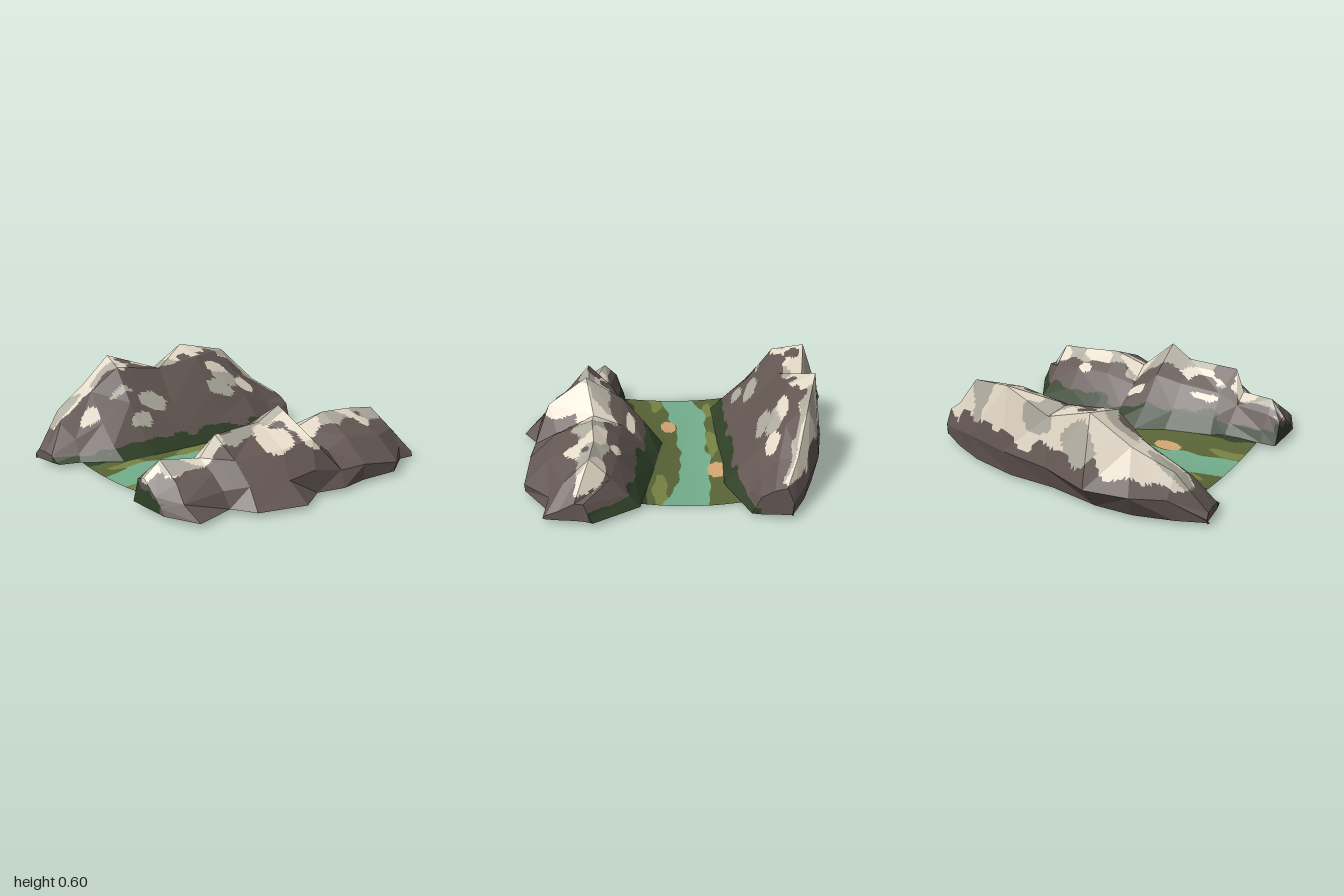
import * as THREE from 'three';

const flat = (name, color) => {
  const m = new THREE.MeshStandardMaterial({ color, side: THREE.DoubleSide, flatShading: true });
  m.name = name;
  return m;
};
const MATERIALS = {
  Rock: flat('rock', 0x645854),
  Cream: flat('cream stone', 0xe4dac8),
  Grey: flat('grey stone', 0xb0ac9f),
  Forest: flat('dark forest green', 0x304128),
  Grass: flat('grass', 0x596436),
  Olive: flat('olive grass', 0x798343),
  Water: flat('water', 0x73ae8c),
  Sand: flat('sand', 0xd3a573),
};
const BASE = 0.025;

// repeatable pseudo-random value in -1..1, and a smooth wobble for paint edges
const hash = (a, b) => {
  const s = Math.sin(a * 127.1 + b * 311.7) * 43758.5453;
  return (s - Math.floor(s)) * 2 - 1;
};
const wobble = (a, b) =>
  (Math.sin(a * 5.1 + b * 17) + Math.sin(b * 31 - a * 3.3) + Math.sin(a * 9 + b * 9.7 + 2)) / 3;
const inside = (a, b, [ca, cb, ra, rb]) => ((a - ca) / ra) ** 2 + ((b - cb) / rb) ** 2 < 1;

// splits triangles into small facets, sorts them by painted colour, makes one mesh per colour
function paintedGroup(name, triangles, steps, paint) {
  const buckets = {};
  for (const tri of triangles) {
    const at = (i, j) => tri[0].map((v, k) =>
      v + (tri[1][k] - v) * i / steps + (tri[2][k] - v) * j / steps);
    const add = (a, b, c) => {
      const mid = a.map((v, k) => (v + b[k] + c[k]) / 3);
      const list = (buckets[paint(mid)] ??= []);
      for (const p of [a, b, c]) list.push(p[0], p[1], p[2]);
    };
    for (let i = 0; i < steps; i++) {
      for (let j = 0; j < steps - i; j++) {
        add(at(i, j), at(i + 1, j), at(i, j + 1));
        if (i + j < steps - 1) add(at(i + 1, j), at(i + 1, j + 1), at(i, j + 1));
      }
    }
  }
  const group = new THREE.Group();
  group.name = name;
  for (const [key, list] of Object.entries(buckets)) {
    const g = new THREE.BufferGeometry();
    g.setAttribute('position', new THREE.Float32BufferAttribute(list, 3));
    g.computeVertexNormals();
    const mesh = new THREE.Mesh(g, MATERIALS[key]);
    mesh.name = name + key;
    group.add(mesh);
  }
  return group;
}

// ridge section: z, outer foot x, four [x, y] points over the crest, inner foot x
const WEST = [
  [-0.93, -0.60, [-0.61, 0.10], [-0.57, 0.19], [-0.50, 0.17], [-0.43, 0.13], -0.38],
  [-0.76, -0.70, [-0.72, 0.15], [-0.65, 0.30], [-0.55, 0.27], [-0.45, 0.17], -0.33],
  [-0.55, -0.78, [-0.81, 0.20], [-0.74, 0.54], [-0.61, 0.40], [-0.45, 0.24], -0.26],
  [-0.25, -0.83, [-0.88, 0.20], [-0.83, 0.60], [-0.66, 0.53], [-0.49, 0.31], -0.28],
  [0.05, -0.82, [-0.87, 0.17], [-0.80, 0.46], [-0.66, 0.49], [-0.47, 0.27], -0.27],
  [0.37, -0.86, [-1.00, 0.19], [-0.86, 0.585], [-0.66, 0.54], [-0.50, 0.33], -0.27],
  [0.60, -0.84, [-0.93, 0.18], [-0.81, 0.42], [-0.68, 0.40], [-0.50, 0.23], -0.27],
  [0.82, -0.77, [-0.81, 0.16], [-0.74, 0.30], [-0.62, 0.24], [-0.52, 0.15], -0.43],
  [0.97, -0.69, [-0.71, 0.05], [-0.68, 0.08], [-0.61, 0.08], [-0.54, 0.07], -0.47],
];
const EAST = [
  [-0.95, 0.78, [0.76, 0.05], [0.69, 0.08], [0.60, 0.13], [0.55, 0.13], 0.50],
  [-0.81, 0.77, [0.75, 0.10], [0.66, 0.20], [0.52, 0.32], [0.40, 0.20], 0.24],
  [-0.59, 0.91, [0.91, 0.08], [0.77, 0.22], [0.50, 0.34], [0.37, 0.24], 0.20],
  [-0.33, 0.90, [0.90, 0.12], [0.75, 0.26], [0.52, 0.36], [0.36, 0.25], 0.15],
  [-0.14, 0.93, [0.89, 0.12], [0.75, 0.20], [0.52, 0.30], [0.34, 0.22], 0.12],
  [0.04, 0.89, [0.88, 0.16], [0.81, 0.32], [0.57, 0.48], [0.34, 0.33], 0.09],
  [0.22, 1.00, [0.88, 0.14], [0.76, 0.28], [0.56, 0.40], [0.38, 0.29], 0.19],
  [0.51, 0.92, [0.82, 0.14], [0.70, 0.26], [0.58, 0.39], [0.43, 0.26], 0.28],
  [0.59, 0.78, [0.74, 0.12], [0.66, 0.20], [0.54, 0.26], [0.44, 0.20], 0.33],
  [0.84, 0.85, [0.73, 0.10], [0.63, 0.18], [0.48, 0.28], [0.41, 0.20], 0.34],
  [0.93, 0.65, [0.62, 0.06], [0.56, 0.11], [0.46, 0.19], [0.40, 0.17], 0.35],
];

// low-poly shell, open underneath; the 4th value of a point is its place across the ridge (0..6).
// backSkew and frontSkew turn the end sections: z shift of the outer foot, opposite at the inner
function ridge(name, sections, { mirrored, backSkew, frontSkew, paint }) {
  const last = sections.length - 1;
  const rows = sections.map(([z, foot, ...rest], i) => {
    const inner = rest.pop();
    const [x4, y4] = rest[3];
    const hem = [x4 * 0.42 + inner * 0.58, y4 * 0.47];
    const skew = i === 0 ? backSkew : i === last ? frontSkew : 0;
    return [[foot, BASE], ...rest, hem, [inner, BASE]].map(([x, y], j) => {
      const shift = i % last === 0 || j % 6 === 0 ? 0 : hash(i, j + 3) * 0.03;
      return [x, y, z + skew * (1 - j / 3) + shift, j];
    });
  });
  // drop both ends to the ground
  const grounded = row => row.map(([x, , z, u]) => [x, BASE, z, u]);
  rows.unshift(grounded(rows[0]));
  rows.push(grounded(rows[rows.length - 1]));
  const triangles = [];
  const add = (a, b, c) => triangles.push(mirrored ? [a, c, b] : [a, b, c]);
  for (let i = 0; i < rows.length - 1; i++) {
    for (let j = 0; j < 6; j++) {
      const a = rows[i][j], b = rows[i + 1][j], c = rows[i + 1][j + 1], d = rows[i][j + 1];
      if (hash(i + 5, j) > 0) { add(a, b, c); add(a, c, d); }
      else { add(a, b, d); add(b, c, d); }
    }
  }
  return paintedGroup(name, triangles, 12, paint);
}

// pale patches on the slopes: place across, z, and their radii
const WEST_CREAM = [[3.5, -0.6, 0.25, 0.07], [3.65, 0.67, 0.22, 0.07], [3.15, -0.4, 0.2, 0.09]];
const WEST_GREY = [[3.4, -0.43, 0.25, 0.1], [3.85, -0.36, 0.25, 0.1], [3.9, 0.22, 0.28, 0.1],
  [4.55, 0.36, 0.22, 0.08], [3.6, 0.42, 0.14, 0.08]];
const EAST_CREAM = [[4.0, -0.53, 0.22, 0.05], [4.4, -0.06, 0.25, 0.06], [4.3, 0.4, 0.2, 0.09],
  [2.35, 0.2, 0.5, 0.1], [2.4, -0.01, 0.75, 0.08]];

function paintWest([, y, z, u]) {
  const n = wobble(u, z);
  const onPatch = p => inside(u + n * 0.12, z, p);
  if (u > 5.25 + n * 0.25 || (y < 0.06 && u > 4)) return 'Forest';
  if (WEST_CREAM.some(onPatch)) return 'Cream';
  if (WEST_GREY.some(onPatch)) return 'Grey';
  if (y > 0.2 && u > 1.32 + n * 0.2 && u < (z < -0.3 ? 2.4 : 2.85) + n * 0.3
    && !inside(u, z, [2.4, 0.27, 0.25, 0.06])) {
    return wobble(u * 0.5 + 4, z * 0.5) > 0.2 ? 'Grey' : 'Cream';
  }
  return 'Rock';
}
function paintEast([, y, z, u]) {
  const n = wobble(u + 2, z);
  if (u > 4.95 + n * 0.3) return 'Forest';
  if (z > 0.9 && u > 1.2 && y < 0.05 + u * 0.025 + n * 0.02) return 'Forest';
  if (EAST_CREAM.some(p => inside(u + n * 0.15, z, p))) return 'Cream';
  if (y > 0.16 && u > 2.55 + n * 0.3 && u < 3.6 + n * 0.35
    && !inside(u, z, [3.2, 0.47, 0.3, 0.08])) {
    return wobble(u * 0.5, z * 0.55 + 1) > 0 ? 'Grey' : 'Cream';
  }
  return 'Rock';
}

// river valley floor, a shallow trough between the ridge feet
function paintFloor([x, , z]) {
  const n = wobble(x * 4, z) * 0.02;
  if (inside(x, z, [-0.235, -0.34, 0.058, 0.1]) || inside(x, z, [0.04, 0.33, 0.05, 0.095])) return 'Sand';
  const left = -0.2 + (z < 0 ? 0.075 * z * z : -0.03 * z) + (z > 0.6 ? (z - 0.6) * 0.4 : 0);
  const right = -0.02 + (z < -0.1 ? 0.3 * (z + 0.1) ** 2 : 0.16 * Math.max(0, z) ** 2);
  if (x > left + n && x < right + n) return 'Water';
  if (x < -0.34 + n || x > 0.2 + n + 0.13 * Math.max(0, z)) return 'Forest';
  if ([[0.12, -0.6, 0.05, 0.2], [-0.23, 0.03, 0.04, 0.2], [0.12, 0.72, 0.045, 0.14], [-0.25, 0.6, 0.04, 0.13]]
    .some(p => inside(x + n, z, p))) return 'Olive';
  return 'Grass';
}
function valleyFloor() {
  // z, left edge, right edge
  const edges = [[-0.77, -0.40, 0.26], [-0.3, -0.31, 0.16], [0, -0.30, 0.11],
    [0.24, -0.30, 0.20], [0.55, -0.31, 0.31], [0.81, -0.45, 0.36]];
  const CENTRE = -0.07, HALF = 6;
  const rows = edges.map(([z, left, right]) =>
    Array.from({ length: HALF * 2 + 1 }, (_, j) => {
      const t = j / HALF - 1;
      return [CENTRE + (t < 0 ? CENTRE - left : right - CENTRE) * t, 0.027 * t * t, z];
    }));
  const triangles = [];
  for (let i = 0; i < rows.length - 1; i++) {
    for (let j = 0; j < HALF * 2; j++) {
      triangles.push([rows[i][j], rows[i + 1][j], rows[i][j + 1]]);
      triangles.push([rows[i + 1][j + 1], rows[i][j + 1], rows[i + 1][j]]);
    }
  }
  return paintedGroup('valleyFloor', triangles, 14, paintFloor);
}

export function createModel() {
  const model = new THREE.Group();
  model.name = 'riverValley';
  model.add(
    valleyFloor(),
    ridge('rightRidge', WEST, { mirrored: false, backSkew: -0.02, frontSkew: 0.025, paint: paintWest }),
    ridge('leftRidge', EAST, { mirrored: true, backSkew: 0.035, frontSkew: 0, paint: paintEast }),
  );
  return model;
}
